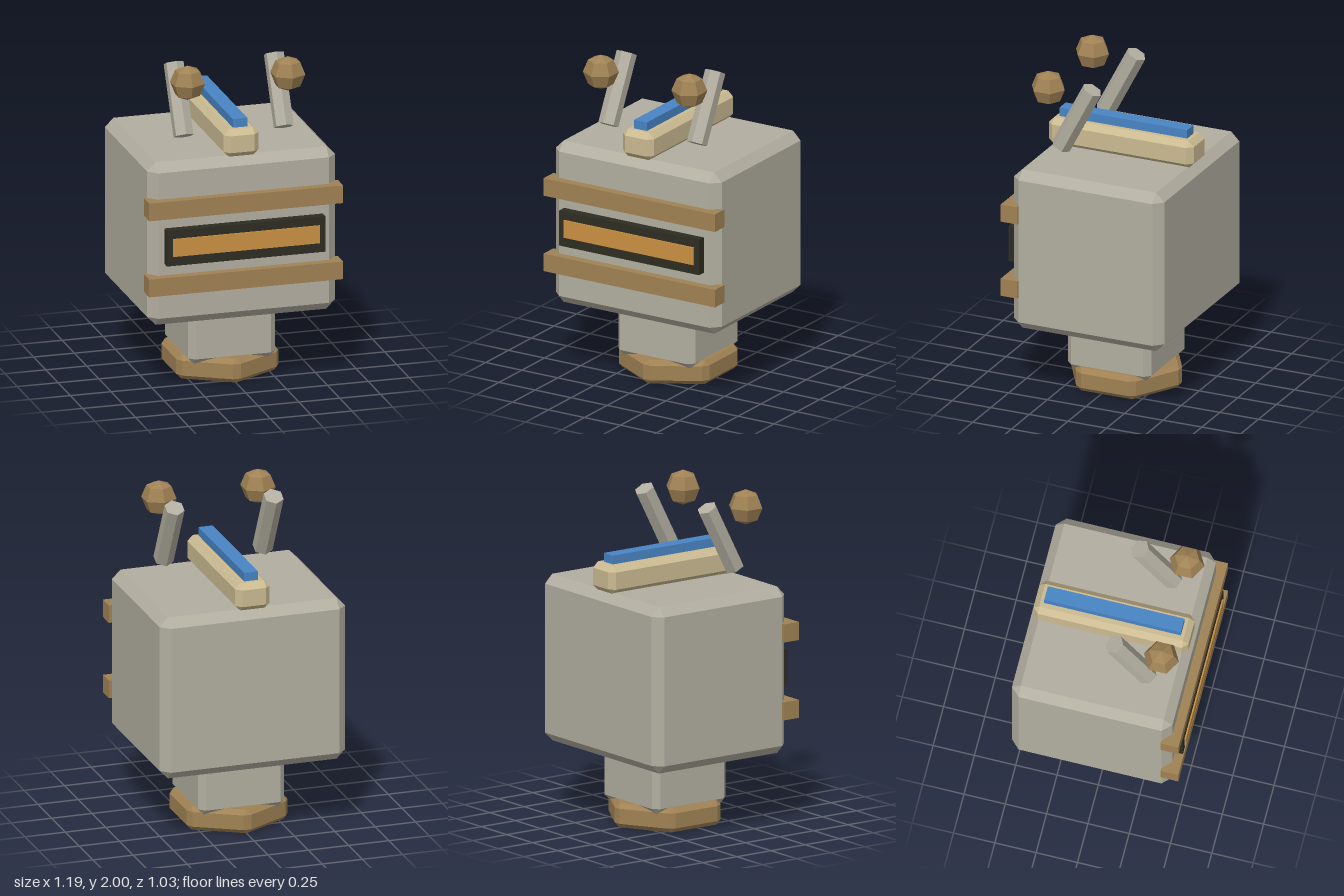
import * as THREE from 'three';
import { ConvexGeometry } from 'three/addons/geometries/ConvexGeometry.js';

const mat = (name, color) => {
  const m = new THREE.MeshStandardMaterial({ color });
  m.name = name;
  return m;
};

// Prism over a convex outline of [x, z] corners, every edge chamfered by c
function chamferedPrism(corners, y0, y1, c) {
  const pts = [];
  const P = corners.map(([x, z]) => new THREE.Vector2(x, z));
  P.forEach((p, i) => {
    const n = P.length;
    const a = P[(i + 1) % n].clone().sub(p).normalize();
    const b = P[(i + n - 1) % n].clone().sub(p).normalize();
    const inset = a.clone().add(b).multiplyScalar(c / Math.abs(a.cross(b))).add(p);
    const sides = [a, b].map((d) => p.clone().addScaledVector(d, c));
    for (const y of [y0, y1]) pts.push(new THREE.Vector3(inset.x, y, inset.y));
    for (const s of sides) {
      for (const y of [y0 + c, y1 - c]) pts.push(new THREE.Vector3(s.x, y, s.y));
    }
  });
  return new ConvexGeometry(pts);
}

const rect = (hx, z0, z1) => [[-hx, z0], [hx, z0], [hx, z1], [-hx, z1]];

export function createModel() {
  const model = new THREE.Group();
  model.name = 'robotHead';

  const grey = mat('warmGrey', 0xb2aea0);
  const tan = mat('paleTan', 0xcbbb92);
  const bronze = mat('bronze', 0xa08254);
  const blue = mat('blue', 0x4884c4);
  const dark = mat('darkOlive', 0x2d2d23);
  const amber = mat('amber', 0xcb9143);

  const add = (name, geometry, material) => {
    const mesh = new THREE.Mesh(geometry, material);
    mesh.name = name;
    model.add(mesh);
    return mesh;
  };
  // Plain box from its extents, symmetric in x
  const slab = (name, hx, y0, y1, z0, z1, material) => {
    const mesh = add(name, new THREE.BoxGeometry(hx * 2, y1 - y0, z1 - z0), material);
    mesh.position.set(0, (y0 + y1) / 2, (z0 + z1) / 2);
    return mesh;
  };

  // Hexagonal foot with a corner facing the front
  const hex = Array.from({ length: 6 }, (_, i) => {
    const t = (i * Math.PI) / 3;
    return [0.361 * Math.sin(t), 0.361 * Math.cos(t) - 0.032];
  });
  add('base', chamferedPrism(hex, 0, 0.147, 0.028), bronze);

  // Neck and head
  add('neck', chamferedPrism(rect(0.267, -0.298, 0.24), 0.11, 0.442, 0.036), grey);
  add('head', chamferedPrism(rect(0.575, -0.517, 0.454), 0.44, 1.445, 0.053), grey);

  // Crest along the top with its blue strip
  add('crest', chamferedPrism(rect(0.107, -0.5, 0.438), 1.435, 1.607, 0.034), tan);
  slab('crestStrip', 0.044, 1.59, 1.66, -0.443, 0.384, blue);

  // Face: two bands, visor frame and glowing slot
  slab('upperBand', 0.594, 1.12, 1.229, 0.4, 0.508, bronze);
  slab('lowerBand', 0.594, 0.65, 0.759, 0.4, 0.508, bronze);
  slab('visorFrame', 0.485, 0.83, 1.049, 0.4, 0.508, dark);
  slab('visorSlot', 0.45, 0.888, 0.997, 0.5, 0.517, amber);

  // Antennae: leaning hexagonal rods with faceted balls in front of their tips
  const rodGeometry = new THREE.CylinderGeometry(0.061, 0.061, 0.438, 6).toNonIndexed();
  rodGeometry.computeVertexNormals();
  const ballGeometry = new THREE.SphereGeometry(0.106, 6, 4).rotateY(Math.PI / 2).toNonIndexed();
  ballGeometry.computeVertexNormals();
  for (const [side, s] of [['left', 1], ['right', -1]]) {
    const rod = add(side + 'AntennaRod', rodGeometry, grey);
    rod.position.set(s * 0.307, 1.733, 0.149);
    rod.rotation.x = -0.48;
    add(side + 'AntennaBall', ballGeometry, bronze).position.set(s * 0.307, 1.894, 0.333);
  }

  return model;
}
